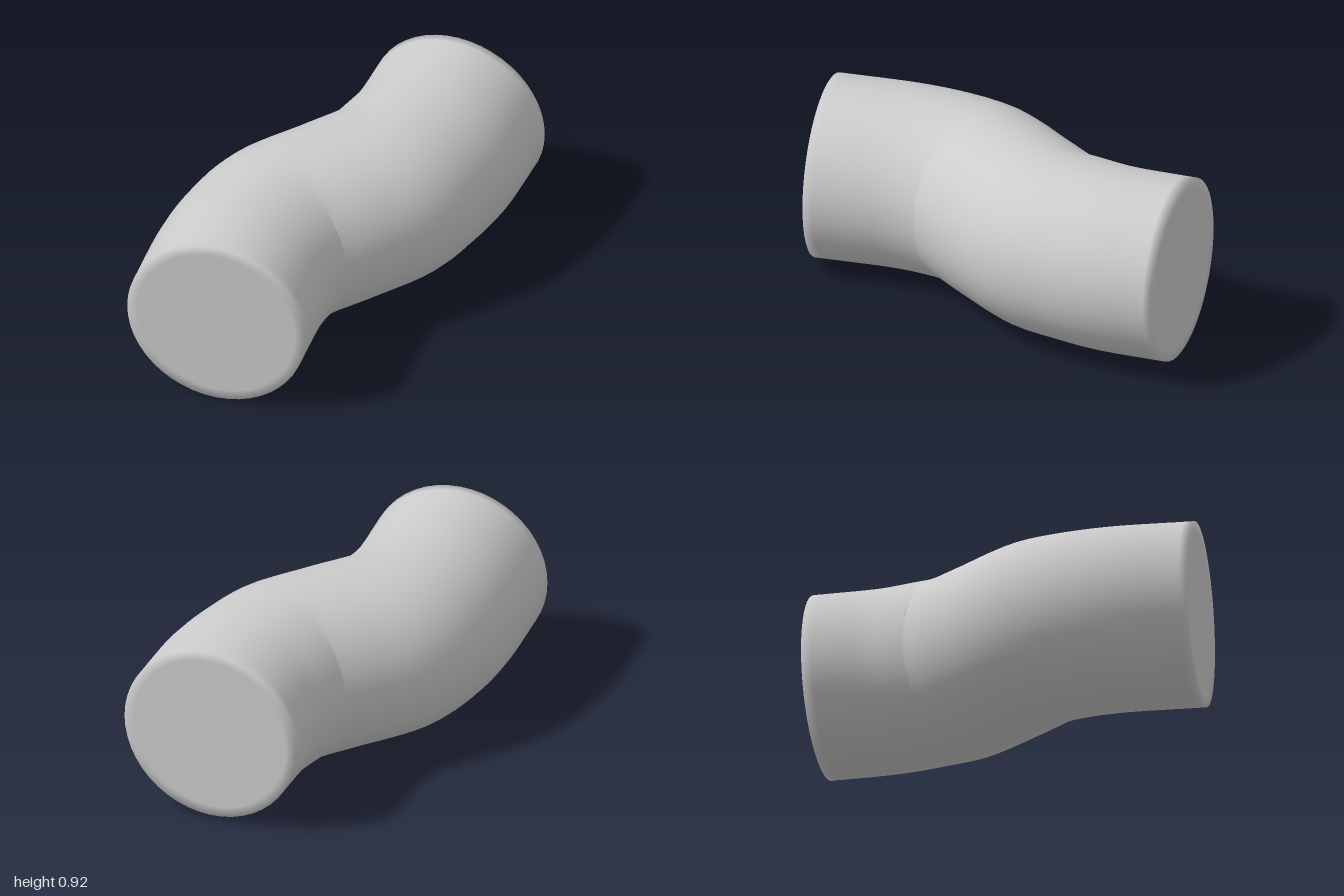
import * as THREE from 'three';

const RADIUS = 0.452;
const SIDES = 48;
const STEPS = 48;

// Centre line of the double bend, front to back
const centreLine = new THREE.CatmullRomCurve3([
  [-0.41, 0.453, 0.95], [-0.36, 0.453, 0.53], [-0.3, 0.454, 0.32],
  [-0.23, 0.456, 0.18], [0, 0.463, -0.04], [0.2, 0.469, -0.24],
  [0.27, 0.472, -0.38], [0.345, 0.473, -0.57], [0.413, 0.473, -0.91],
].map((p) => new THREE.Vector3(...p)));

// Closed skin: rings swept along the centre line, with flat inset caps
function createPipeGeometry() {
  const capInset = RADIUS - 0.05;
  const rings = [[0, 0], [0, capInset]];
  for (let i = 0; i <= STEPS; i++) rings.push([i / STEPS, RADIUS]);
  rings.push([1, capInset], [1, 0]);

  const positions = [];
  const indices = [];
  const up = new THREE.Vector3(0, 1, 0);
  rings.forEach(([t, radius], i) => {
    const centre = centreLine.getPointAt(t);
    const tangent = centreLine.getTangentAt(t).setY(0).normalize();
    const side = new THREE.Vector3().crossVectors(tangent, up);
    for (let j = 0; j < SIDES; j++) {
      const angle = (j / SIDES) * Math.PI * 2;
      const p = centre.clone()
        .addScaledVector(side, Math.cos(angle) * radius)
        .addScaledVector(up, Math.sin(angle) * radius);
      positions.push(p.x, p.y, p.z);
      if (i === rings.length - 1) continue;
      const a = i * SIDES + j;
      const b = i * SIDES + ((j + 1) % SIDES);
      const c = a + SIDES;
      const d = b + SIDES;
      if (i > 0) indices.push(a, c, b);
      else indices.push(a, c, d);
      if (i > 0 && i < rings.length - 2) indices.push(b, c, d);
    }
  });

  const geometry = new THREE.BufferGeometry();
  geometry.setAttribute('position', new THREE.Float32BufferAttribute(positions, 3));
  geometry.setIndex(indices);
  geometry.computeVertexNormals();
  return geometry;
}

export function createModel() {
  const group = new THREE.Group();
  group.name = 'bentCylinder';
  const grey = new THREE.MeshStandardMaterial({ color: 0xcccccc });
  grey.name = 'light grey';
  const pipe = new THREE.Mesh(createPipeGeometry(), grey);
  pipe.name = 'bentPipe';
  group.add(pipe);
  return group;
}
